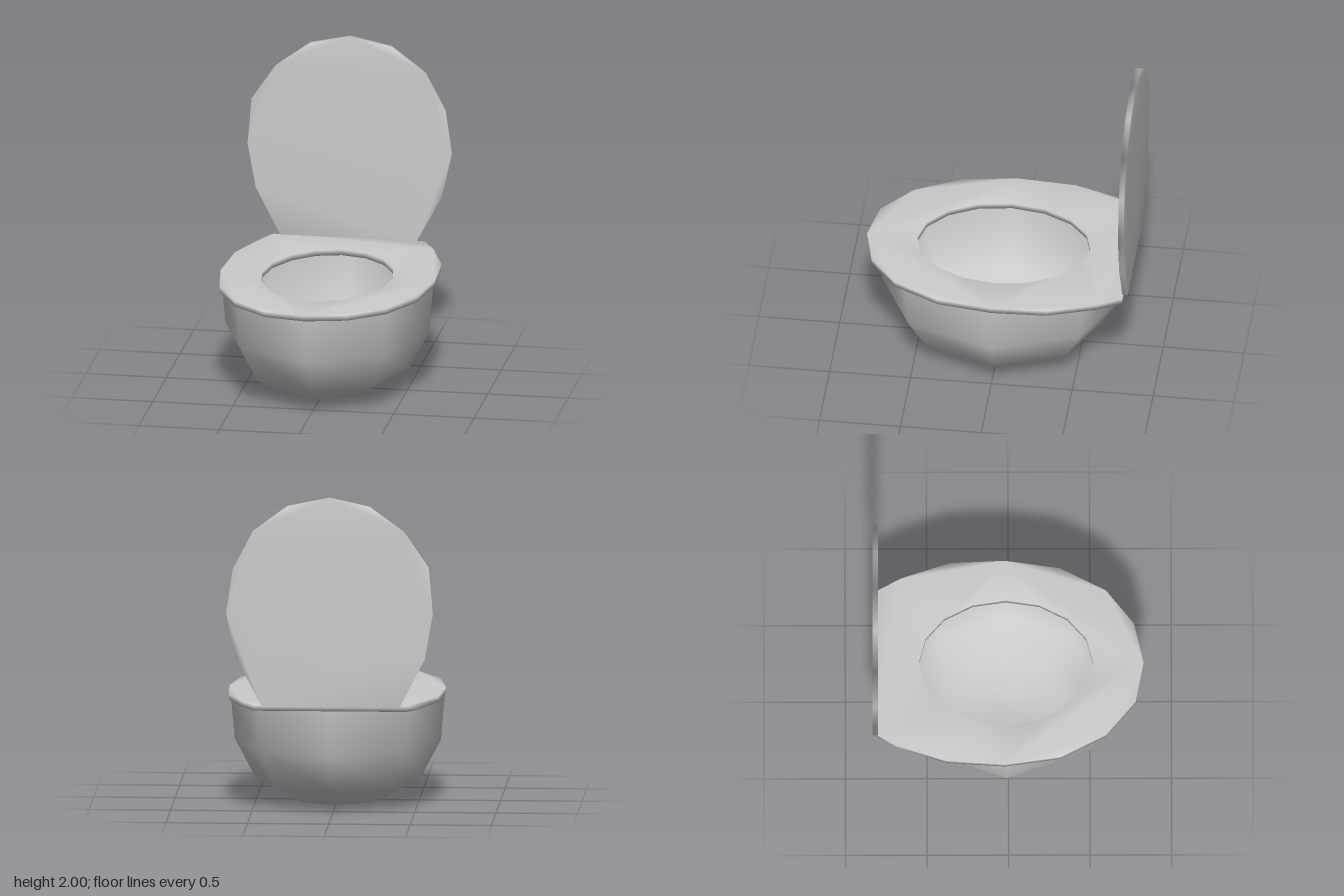
import * as THREE from 'three';
import { mergeVertices } from 'three/addons/utils/BufferGeometryUtils.js';

const grey = new THREE.MeshStandardMaterial({ color: 0xcccccc, side: THREE.DoubleSide });
const V = (x, y) => new THREE.Vector2(x, y);

// Thin plate from an outline, with normals smoothed over its edges
function plate(shape, depth) {
  const geo = new THREE.ExtrudeGeometry(shape, { depth, bevelEnabled: false });
  geo.deleteAttribute('normal');
  geo.deleteAttribute('uv');
  const smooth = mergeVertices(geo, 1e-4);
  smooth.computeVertexNormals();
  return smooth;
}

function addPart(group, name, geometry) {
  const mesh = new THREE.Mesh(geometry, grey);
  mesh.name = name;
  group.add(mesh);
  return mesh;
}

export function createModel() {
  const group = new THREE.Group();
  group.name = 'toilet';

  // Bowl: open eight-sided half ellipsoid
  const profile = [[0, 0], [0.455, 0.02], [0.77, 0.14], [0.96, 0.375], [1, 0.68]].map(([r, y]) => V(r, y));
  const bowlGeo = new THREE.LatheGeometry(profile, 8);
  bowlGeo.scale(0.66, 1, 0.78);
  addPart(group, 'bowl', bowlGeo).position.z = -0.01;

  // Seat: oval ring cut straight at the back (shape y is -z)
  const seat = new THREE.Shape([
    V(0, -0.83), V(0.255, -0.77), V(0.47, -0.6), V(0.615, -0.32), V(0.665, 0.02), V(0.65, 0.36),
    V(0.55, 0.66), V(0.47, 0.805), V(-0.47, 0.805), V(-0.54, 0.69), V(-0.64, 0.38),
    V(-0.665, 0.02), V(-0.615, -0.32), V(-0.47, -0.6), V(-0.255, -0.78),
  ]);
  const hole = [];
  for (let i = 0; i < 16; i++) {
    const a = -(i / 16) * Math.PI * 2;
    hole.push(V(0.407 * Math.cos(a), 0.015 + 0.535 * Math.sin(a)));
  }
  seat.holes.push(new THREE.Path(hole));
  const seatGeo = plate(seat, 0.035);
  seatGeo.rotateX(-Math.PI / 2);
  addPart(group, 'seat', seatGeo).position.y = 0.67;

  // Lid: upright oval plate standing on the back edge of the seat
  const lid = new THREE.Shape([
    V(0.42, 0.7), V(0.58, 1.0), V(0.64, 1.275), V(0.6, 1.55), V(0.475, 1.79), V(0.265, 1.945),
    V(0.005, 2), V(-0.24, 1.945), V(-0.455, 1.79), V(-0.605, 1.57), V(-0.63, 1.28),
    V(-0.58, 1.0), V(-0.425, 0.7),
  ]);
  addPart(group, 'lid', plate(lid, 0.033)).position.z = -0.833;

  return group;
}
